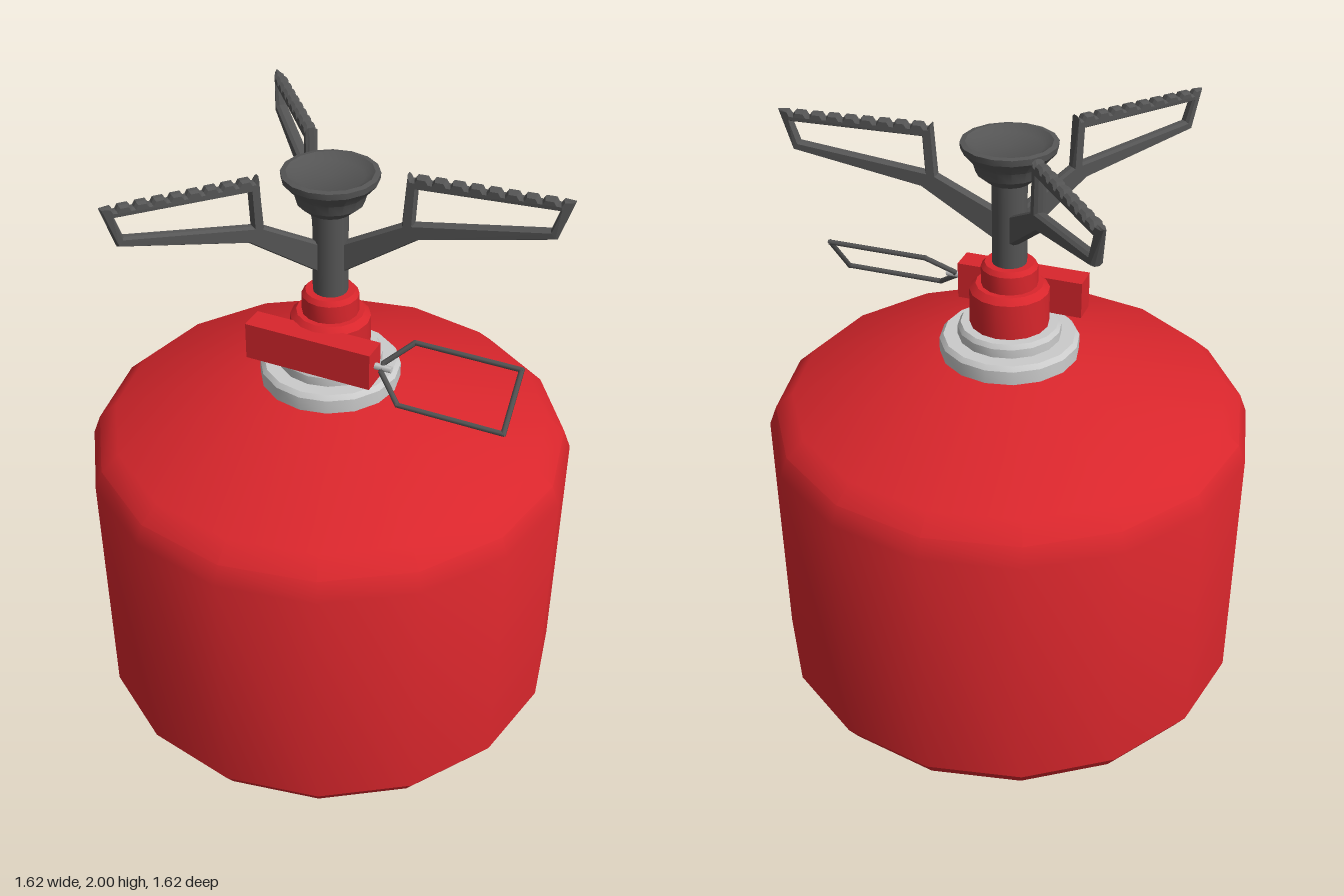
import * as THREE from 'three';
import { toCreasedNormals } from 'three/addons/utils/BufferGeometryUtils.js';

const mat = (color) => new THREE.MeshStandardMaterial({ color });
const red = mat(0xd9262c), grey = mat(0xcccccc), dark = mat(0x555555);

function add(group, name, geometry, material) {
  const mesh = new THREE.Mesh(geometry, material);
  mesh.name = name;
  group.add(mesh);
  return mesh;
}

// Turned part from [radius, height] pairs, bottom to top
function turned(profile, sides, crease = 0.55) {
  const points = profile.map(([r, y]) => new THREE.Vector2(r, y));
  return toCreasedNormals(new THREE.LatheGeometry(points, sides), crease);
}

// Straight rod between two points
function rod(group, name, a, b, radius, material) {
  const dir = b.clone().sub(a);
  const mesh = add(group, name, new THREE.CylinderGeometry(radius, radius, dir.length() + radius, 6), material);
  mesh.position.copy(a).add(b).multiplyScalar(0.5);
  mesh.quaternion.setFromUnitVectors(new THREE.Vector3(0, 1, 0), dir.normalize());
}

// Pot support: toothed frame with an opening, extruded and thinned at the tip
function armGeometry() {
  const bevel = 0.006, teeth = 9, x0 = 0.245, x1 = 0.735;
  const shape = new THREE.Shape();
  shape.moveTo(0.0, 1.61);
  shape.lineTo(0.05, 1.645);
  shape.lineTo(0.28, 1.796);
  shape.lineTo(0.695, 1.876);
  shape.lineTo(x1, 1.993);
  const step = (x1 - x0) / teeth;
  for (let i = 0; i < teeth; i++) {
    const x = x1 - i * step;
    shape.lineTo(x - step * 0.45, 1.993);
    shape.lineTo(x - step * 0.6, 1.98);
    shape.lineTo(x - step * 0.85, 1.98);
    shape.lineTo(x - step, 1.993);
  }
  shape.lineTo(0.236, 1.83);
  shape.lineTo(0.05, 1.735);
  shape.lineTo(0.0, 1.71);
  const hole = new THREE.Path();
  [[0.268, 1.962], [0.262, 1.836], [0.682, 1.893], [0.706, 1.968]].forEach(([x, y], i) =>
    i ? hole.lineTo(x, y) : hole.moveTo(x, y));
  hole.closePath();
  shape.holes.push(hole);
  const geo = new THREE.ExtrudeGeometry(shape, {
    depth: 0.016, bevelEnabled: true, bevelThickness: 0.011, bevelSize: bevel, bevelSegments: 1,
  });
  geo.translate(0, 0, -0.008);
  const p = geo.attributes.position;
  for (let i = 0; i < p.count; i++) {
    const t = THREE.MathUtils.smoothstep(p.getX(i), 0.69, 0.745);
    p.setZ(i, p.getZ(i) * (1 - 0.65 * t));
  }
  geo.computeVertexNormals();
  return geo;
}

export function createModel() {
  const model = new THREE.Group();
  model.name = 'campStove';

  // Fuel canister
  add(model, 'canister', turned([
    [0, 0.003], [0.69, 0.003], [0.77, 0.03], [0.81, 0.09], [0.81, 0.965],
    [0.785, 1.03], [0.725, 1.085], [0.225, 1.24], [0, 1.24],
  ], 16), red);

  // Stepped collar
  add(model, 'collar', turned([
    [0, 1.235], [0.23, 1.235], [0.23, 1.285], [0.217, 1.3], [0.17, 1.3],
    [0.17, 1.33], [0.16, 1.345], [0, 1.345],
  ], 16), grey);

  // Valve body and regulator block
  add(model, 'valveBody', turned([
    [0, 1.34], [0.13, 1.34], [0.13, 1.465], [0.11, 1.485], [0.092, 1.485],
    [0.092, 1.545], [0.08, 1.56], [0, 1.56],
  ], 16), red);
  add(model, 'valveBlock', new THREE.BoxGeometry(0.43, 0.125, 0.085), red).position.set(0, 1.407, 0.133);

  // Stem and dished burner head
  add(model, 'stem', new THREE.CylinderGeometry(0.056, 0.056, 0.32, 16), dark).position.y = 1.7;
  add(model, 'burnerHead', turned([
    [0, 1.84], [0.07, 1.84], [0.105, 1.87], [0.115, 1.905], [0.15, 1.945],
    [0.152, 1.965], [0.135, 1.968], [0.105, 1.95], [0, 1.95],
  ], 16), dark);

  // Three folding pot supports
  const arm = armGeometry();
  [[5.5, 1], [130, 0.965], [-130, 0.965]].forEach(([degrees, reach], i) => {
    const mesh = add(model, 'potSupport' + (i + 1), arm, dark);
    mesh.rotation.y = THREE.MathUtils.degToRad(degrees);
    mesh.scale.x = reach;
  });

  // Tilted wire handle on its pin
  const handle = new THREE.Group();
  handle.name = 'wireHandle';
  const loop = [[0.24, 0.015], [0.32, 0.1], [0.665, 0.1], [0.665, -0.1], [0.32, -0.1], [0.24, -0.015]]
    .map(([x, y]) => new THREE.Vector3(x, y, 0));
  loop.forEach((a, i) => rod(handle, 'handleWire', a, loop[(i + 1) % loop.length], 0.009, dark));
  handle.position.set(0, 1.408, 0.13);
  handle.rotation.x = -0.71;
  model.add(handle);
  rod(model, 'handlePin', new THREE.Vector3(0.2, 1.408, 0.13), new THREE.Vector3(0.265, 1.408, 0.13), 0.011, grey);

  return model;
}
